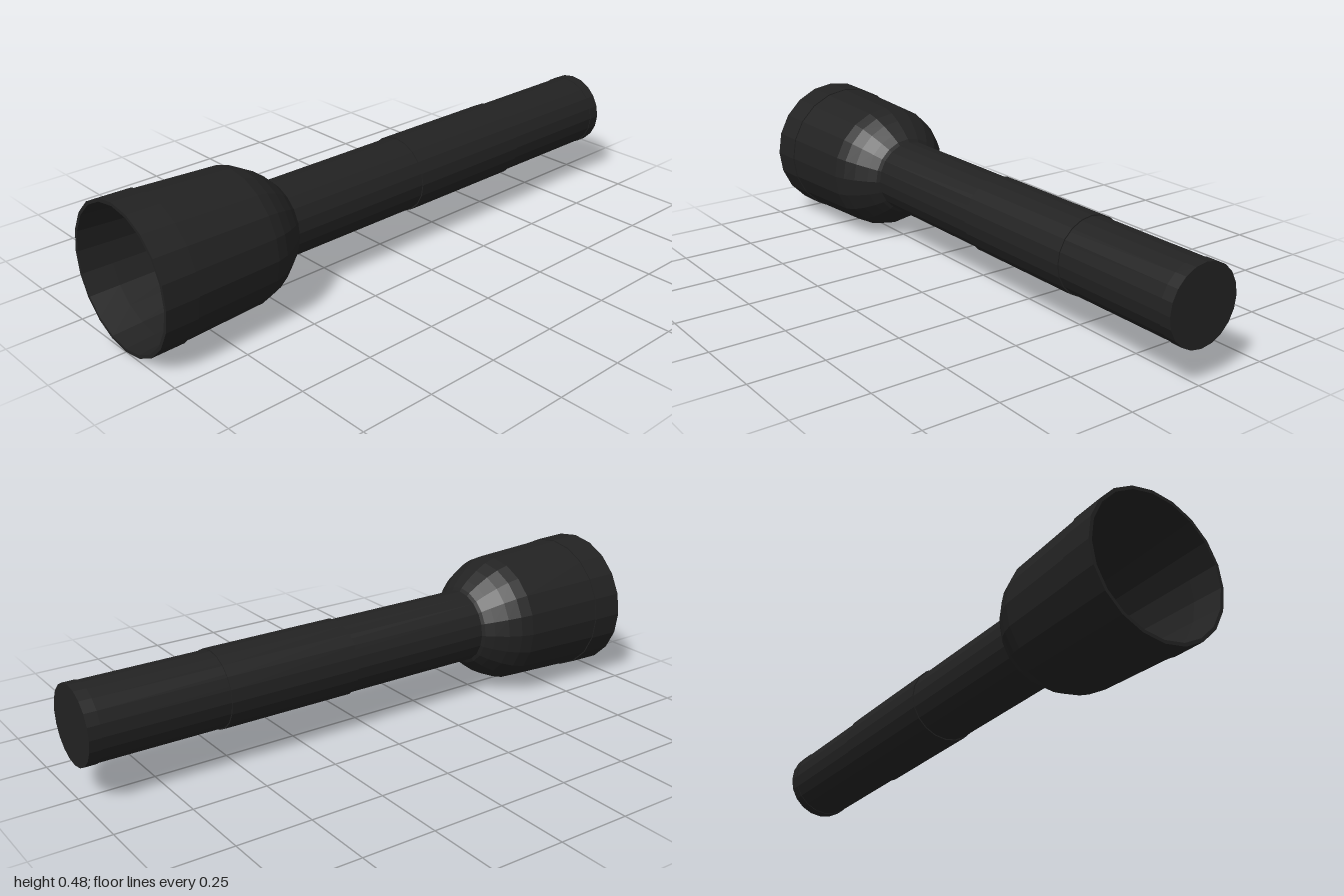
import * as THREE from 'three';

const SIDES = 20;
const AXIS_Y = 0.24;

export function createModel() {
  const group = new THREE.Group();
  group.name = 'flashlight';

  const black = new THREE.MeshStandardMaterial({ color: 0x222222 });
  black.name = 'black metal';

  // Turns a profile of [x, radius] pairs around the long axis, with faceted sides
  function turned(name, profile) {
    const points = profile.map(([x, r]) => new THREE.Vector2(r, x));
    const geometry = new THREE.LatheGeometry(points, SIDES).toNonIndexed();
    geometry.rotateZ(-Math.PI / 2);
    geometry.computeVertexNormals();
    const mesh = new THREE.Mesh(geometry, black);
    mesh.name = name;
    mesh.position.y = AXIS_Y;
    group.add(mesh);
  }

  // Hollow reflector bowl, seen through the open front
  turned('reflector', [
    [-0.47, 0], [-0.47, 0.11], [-0.52, 0.165], [-0.6, 0.205], [-0.9, 0.222], [-1, 0.229],
  ].map(([x, r]) => [x, r]));

  // Bezel ring around the opening
  turned('bezel', [
    [-1, 0.229], [-1, 0.24], [-0.89, 0.238], [-0.89, 0.232],
  ]);

  // Tapered head with a rounded shoulder down to the handle
  turned('head', [
    [-0.9, 0.235], [-0.6, 0.222], [-0.56, 0.21], [-0.52, 0.189],
    [-0.48, 0.16], [-0.455, 0.137], [-0.445, 0.12],
  ]);

  // Handle tube, raised grip sleeve and closed tail cap
  turned('handle', [[-0.46, 0.126], [0.97, 0.126]]);
  turned('grip', [[0.075, 0.124], [0.075, 0.13], [0.54, 0.13], [0.54, 0.124]]);
  turned('tailCap', [[0.96, 0.124], [0.96, 0.128], [1, 0.128], [1, 0]]);

  return group;
}
